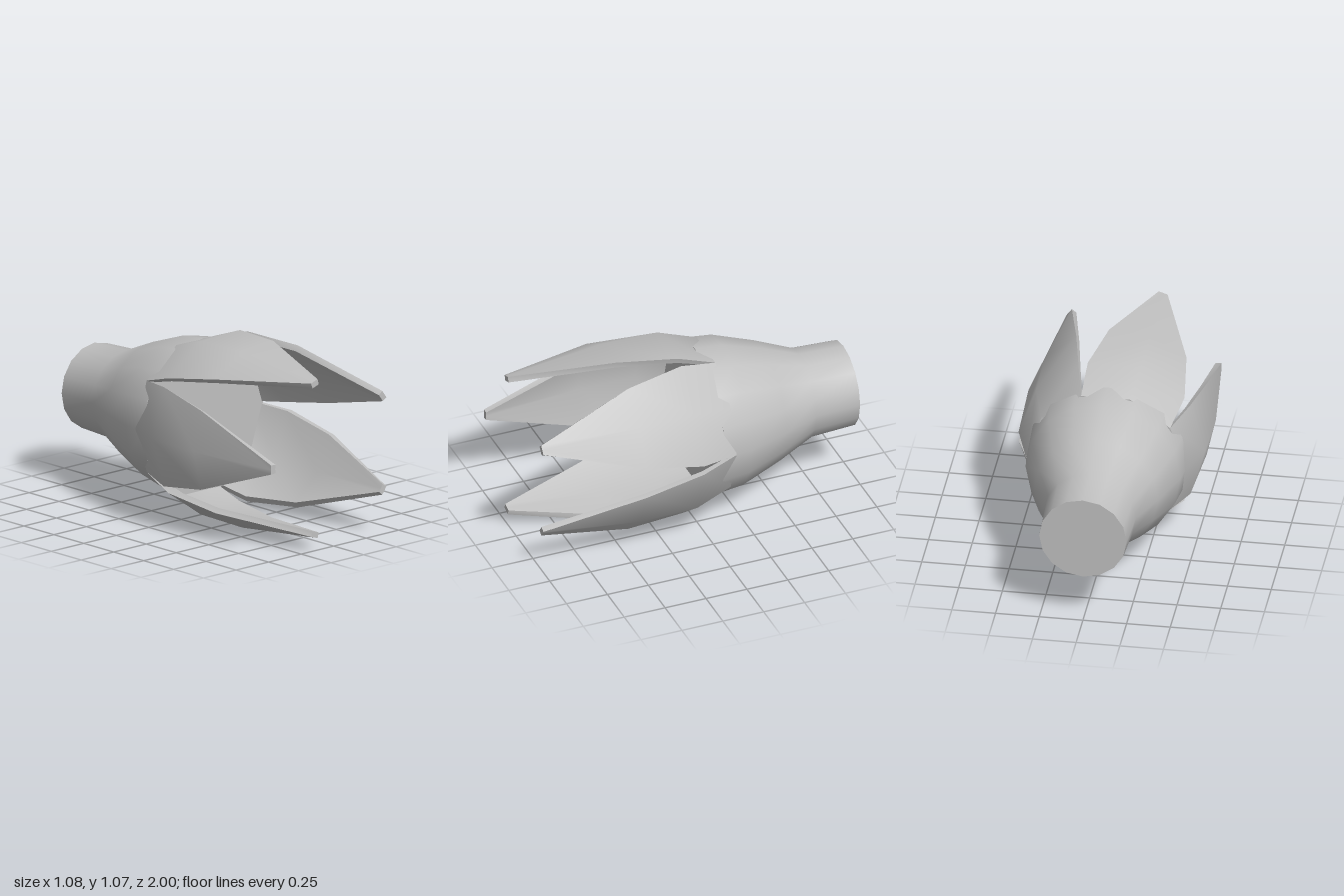
import * as THREE from 'three';
import { toCreasedNormals } from 'three/addons/utils/BufferGeometryUtils.js';

const AXIS_Y = 0.537;
const SIDES = 16;

// Petal stations: z, outer radius, half angle in degrees, thickness
const STATIONS = [
  [-0.16, 0.456, 36, 0.025],
  [0.07, 0.535, 33, 0.035],
  [0.42, 0.541, 25.5, 0.036],
  [1.0, 0.482, 3.2, 0.033],
];

// Curved slab with a six-point cross-section swept along the stations
function petalGeometry() {
  const rings = STATIONS.map(([z, r, half, t]) => {
    const h = THREE.MathUtils.degToRad(half);
    const point = (a, radius) => [radius * Math.cos(a), radius * Math.sin(a), z];
    return [point(-h, r), point(0, r), point(h, r), point(h, r - t), point(0, r - t), point(-h, r - t)];
  });
  const positions = [];
  const quad = (a, b, c, d) => positions.push(...a, ...b, ...c, ...a, ...c, ...d);
  for (let i = 0; i < rings.length - 1; i++) {
    for (let j = 0; j < 6; j++) {
      const k = (j + 1) % 6;
      quad(rings[i][j], rings[i][k], rings[i + 1][k], rings[i + 1][j]);
    }
  }
  // Tip and base ends
  const tip = rings[rings.length - 1];
  quad(tip[0], tip[1], tip[4], tip[5]);
  quad(tip[1], tip[2], tip[3], tip[4]);
  const base = rings[0];
  quad(base[5], base[4], base[1], base[0]);
  quad(base[4], base[3], base[2], base[1]);

  const geometry = new THREE.BufferGeometry();
  geometry.setAttribute('position', new THREE.Float32BufferAttribute(positions, 3));
  return toCreasedNormals(geometry, 0.9);
}

export function createModel() {
  const model = new THREE.Group();
  model.name = 'petalNozzle';
  const grey = new THREE.MeshStandardMaterial({ color: 0xc0c0c0 });
  grey.name = 'light grey';

  const add = (name, geometry) => {
    const mesh = new THREE.Mesh(geometry, grey);
    mesh.name = name;
    mesh.position.y = AXIS_Y;
    model.add(mesh);
    return mesh;
  };

  // Bulb with a narrow neck, turned around z
  const profile = [
    [0.25, -1], [0.262, -0.73], [0.355, -0.51], [0.443, -0.26], [0.462, -0.09],
  ].map(([r, z]) => new THREE.Vector2(r, z));
  add('bulb', new THREE.LatheGeometry(profile, SIDES).rotateX(Math.PI / 2));

  // Flat ends of the bulb
  add('neckEnd', new THREE.CircleGeometry(0.25, SIDES).rotateY(Math.PI).translate(0, 0, -1));
  add('bulbFront', new THREE.CircleGeometry(0.462, SIDES).translate(0, 0, -0.09));

  // Five petals around the bulb
  const petal = petalGeometry();
  for (let i = 0; i < 5; i++) {
    add(`petal${i + 1}`, petal).rotation.z = Math.PI + (i * Math.PI * 2) / 5;
  }
  return model;
}
